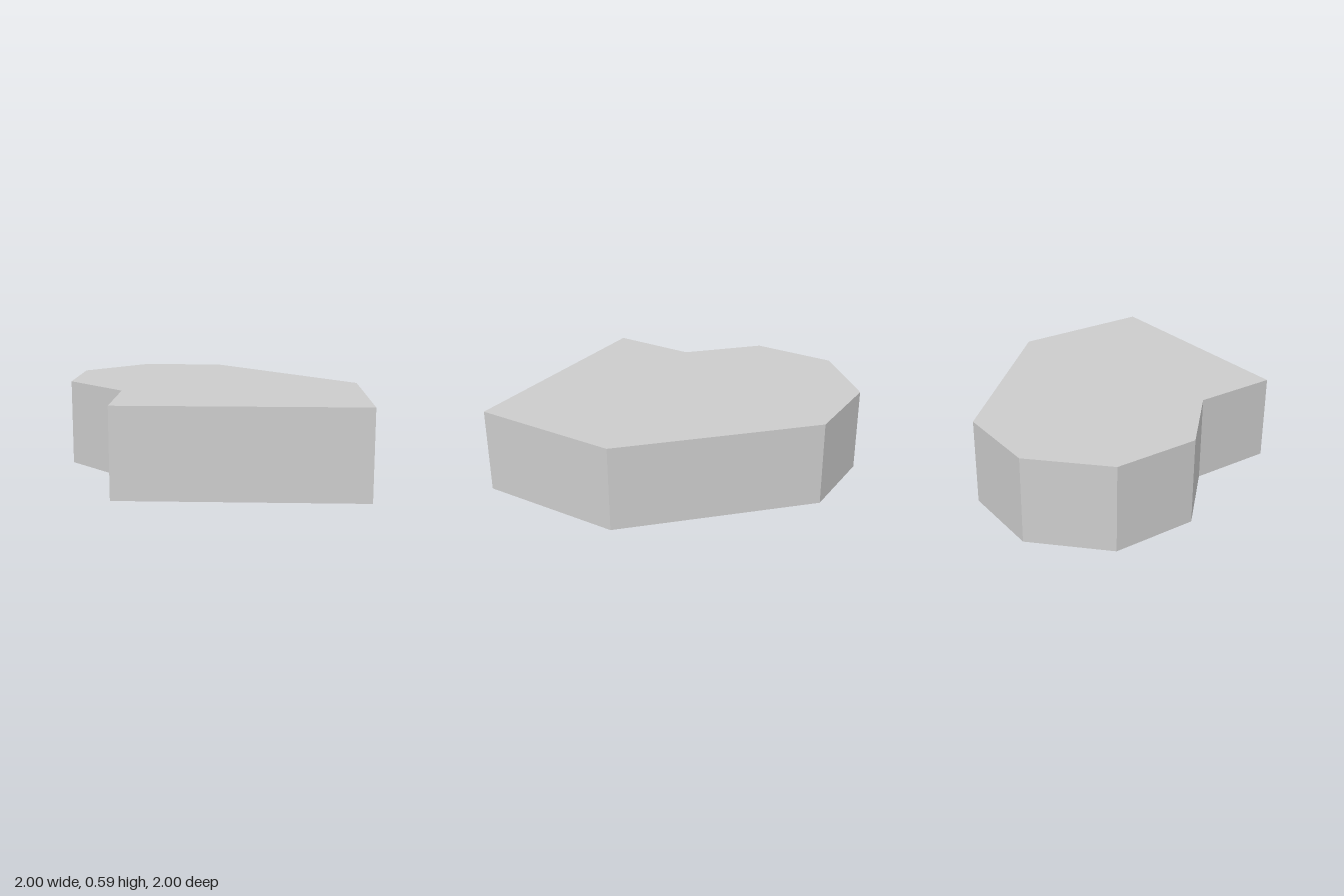
import * as THREE from 'three';

const HEIGHT = 0.586;

// Plan outline as [x, z] corners
const OUTLINE = [
  [-0.586, 1], [1, 1], [1, 0], [0, -1],
  [-0.586, -1], [-1, -0.586], [-1, 0], [-0.586, 0.414],
];

export function createModel() {
  const group = new THREE.Group();
  group.name = 'prismBlock';

  // Solid slab: the outline drawn in x / -z, then stood up so it extrudes along y
  const shape = new THREE.Shape(OUTLINE.map(([x, z]) => new THREE.Vector2(x, -z)));
  const geometry = new THREE.ExtrudeGeometry(shape, { depth: HEIGHT, bevelEnabled: false });
  geometry.rotateX(-Math.PI / 2);

  const slab = new THREE.Mesh(
    geometry,
    new THREE.MeshStandardMaterial({ color: 0xcccccc, flatShading: true }),
  );
  slab.name = 'slab';
  group.add(slab);
  return group;
}
